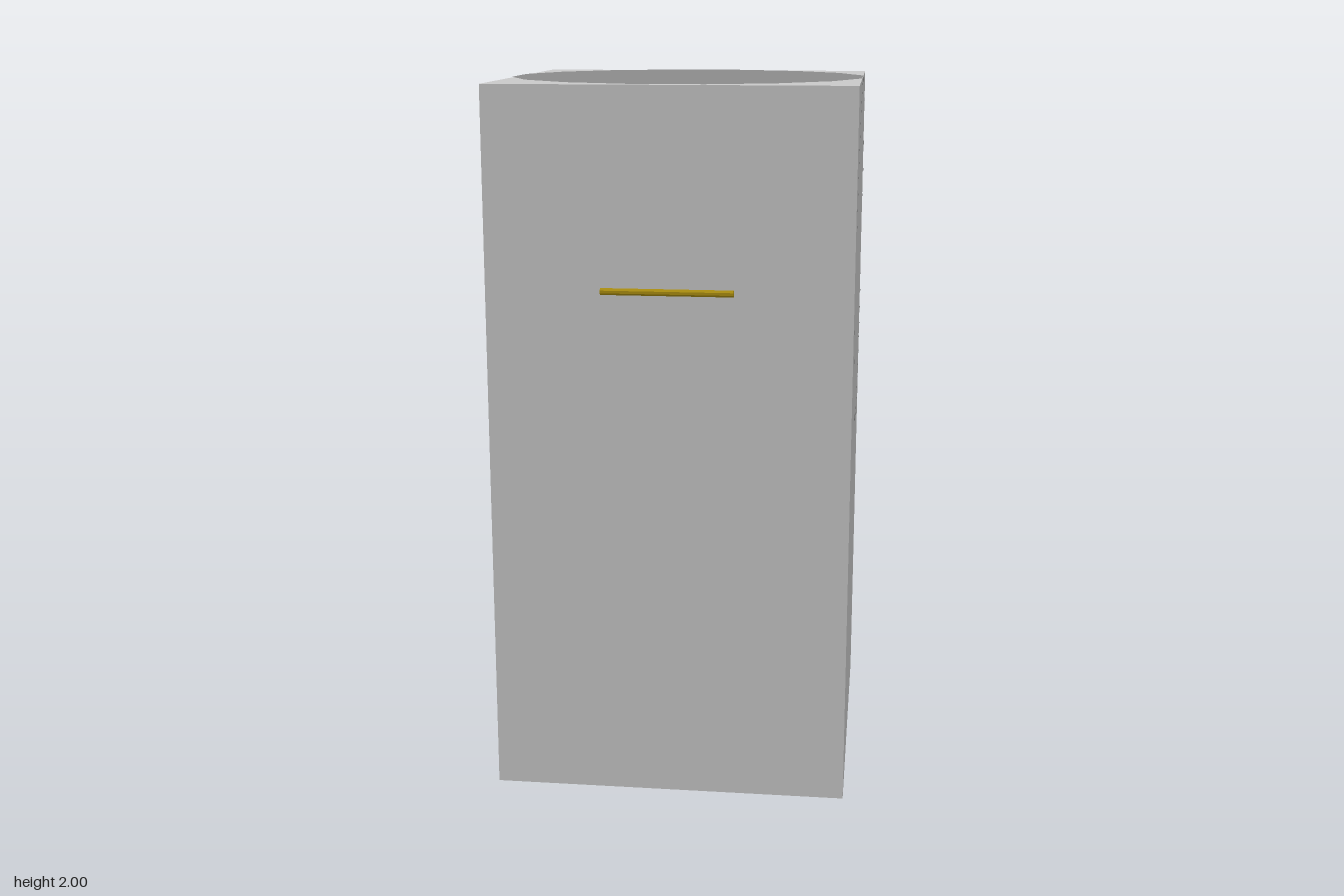
import * as THREE from 'three';

const bodyGrey = new THREE.MeshStandardMaterial({ color: 0xc8c8c8 });
bodyGrey.name = 'light grey';
const darkGrey = new THREE.MeshStandardMaterial({ color: 0x8b8b8b });
darkGrey.name = 'dark grey';
const brass = new THREE.MeshStandardMaterial({ color: 0xac8f10 });
brass.name = 'dark brass';

const TURN = Math.PI / 16; // puts flat sides of the 16-gons on the axes

function addMesh(parent, name, geometry, material, x = 0, y = 0, z = 0) {
  const mesh = new THREE.Mesh(geometry, material);
  mesh.name = name;
  mesh.position.set(x, y, z);
  parent.add(mesh);
  return mesh;
}

// Bar on two short posts, facing +z
function createHandle(name) {
  const handle = new THREE.Group();
  handle.name = name;
  const bar = new THREE.CylinderGeometry(0.0095, 0.0095, 0.36, 8).toNonIndexed();
  bar.rotateY(Math.PI / 8).rotateZ(Math.PI / 2);
  bar.computeVertexNormals();
  addMesh(handle, 'handleBar', bar, brass, 0, 1.455, 0.516);
  for (const x of [-0.15, 0.15]) {
    addMesh(handle, 'handlePost', new THREE.BoxGeometry(0.02, 0.012, 0.012), brass, x, 1.455, 0.505);
  }
  return handle;
}

export function createModel() {
  const model = new THREE.Group();
  model.name = 'cabinet';

  addMesh(model, 'body', new THREE.BoxGeometry(1, 2, 1), bodyGrey, 0, 1, 0);

  // Sixteen-sided panel on the top
  const panel = new THREE.CircleGeometry(0.5098, 16, TURN).rotateX(-Math.PI / 2);
  addMesh(model, 'topPanel', panel, darkGrey, 0, 2.002, 0);

  // Thin outline on the left side, open where it meets the corners
  for (const start of [TURN, Math.PI + TURN]) {
    const arc = new THREE.RingGeometry(0.497, 0.508, 7, 1, start, Math.PI - 2 * TURN);
    arc.rotateY(Math.PI / 2);
    addMesh(model, 'sideOutline', arc, darkGrey, 0.502, 1.502, 0);
  }

  // Matching handles front and back
  model.add(createHandle('frontHandle'));
  const backHandle = createHandle('backHandle');
  backHandle.rotation.y = Math.PI;
  model.add(backHandle);

  return model;
}
